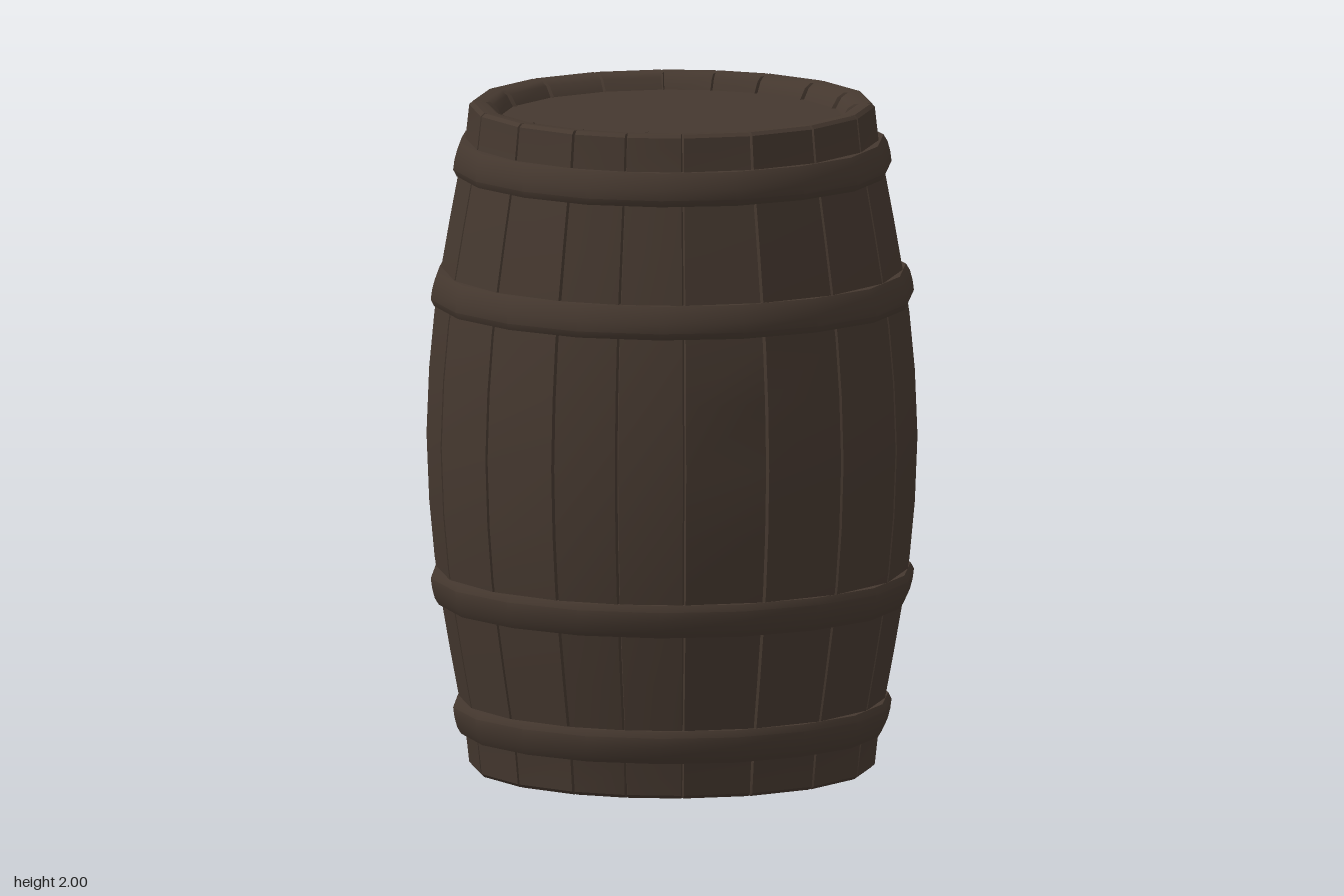
import * as THREE from 'three';
import { toCreasedNormals } from 'three/addons/utils/BufferGeometryUtils.js';

const rad = THREE.MathUtils.degToRad;

// Sweeps a [radius, y] profile around a closed ring of { a: angle, d: radius offset }.
function sweepRing(profile, ring) {
  const positions = [], index = [], n = profile.length;
  for (const { a, d } of ring) {
    for (const [r, y] of profile) positions.push(Math.sin(a) * (r + d), y, Math.cos(a) * (r + d));
  }
  for (let i = 0; i < ring.length; i++) {
    const k = (i + 1) % ring.length;
    for (let j = 0; j < n - 1; j++) {
      const p = i * n + j, q = k * n + j;
      index.push(p, q, q + 1, p, q + 1, p + 1);
    }
  }
  const geometry = new THREE.BufferGeometry();
  geometry.setAttribute('position', new THREE.Float32BufferAttribute(positions, 3));
  geometry.setIndex(index);
  return toCreasedNormals(geometry, 0.6);
}

export function createModel() {
  const barrel = new THREE.Group();
  barrel.name = 'barrel';
  const wood = new THREE.MeshStandardMaterial({ color: 0x45382f });
  wood.name = 'darkWood';

  const add = (name, geometry, parent = barrel) => {
    const mesh = new THREE.Mesh(geometry, wood);
    mesh.name = name;
    parent.add(mesh);
    return mesh;
  };

  // Staves: eighteen flat boards with a narrow groove at each seam
  const quarter = [0, 16, 36, 57, 79];
  const half = [...quarter, ...quarter.slice(1).reverse().map((a) => 180 - a)];
  const seams = [...half, ...half.map((a) => a + 180)];
  const staveRing = seams.flatMap((deg) => [
    { a: rad(deg) - 0.007, d: 0 },
    { a: rad(deg), d: -0.012 },
    { a: rad(deg) + 0.007, d: 0 },
  ]);
  const lower = [
    [0.515, 0.05], [0.535, 0.015], [0.555, 0.002], [0.592, 0], [0.603, 0.01],
    [0.613, 0.1], [0.632, 0.2], [0.66, 0.35], [0.686, 0.5], [0.706, 0.63], [0.722, 0.8],
  ];
  const upper = lower.map(([r, y]) => [r, 2 - y]).reverse();
  add('staves', sweepRing([...lower, [0.73, 1], ...upper], staveRing));

  // Hoops: four bands with worn, rounded edges, mirrored about the middle
  const hoopRing = Array.from({ length: 18 }, (_, i) => ({
    a: rad(10 + i * 20), d: 0.003 * Math.sin(i * 2.7),
  }));
  const hoops = [
    { name: 'EndHoop', y: 0.11, r: 0.643 },
    { name: 'BellyHoop', y: 0.5, r: 0.71 },
  ];
  for (const { name, y, r } of hoops) {
    const profile = [
      [r - 0.05, y], [r - 0.012, y], [r, y + 0.02], [r + 0.008, y + 0.05],
      [r + 0.012, y + 0.08], [r + 0.002, y + 0.1], [r - 0.04, y + 0.1],
    ];
    const mirrored = profile.map(([pr, py]) => [pr, 2 - py]).reverse();
    add('lower' + name, sweepRing(profile, hoopRing));
    add('upper' + name, sweepRing(mirrored, hoopRing));
  }

  // Heads: recessed round boards, each with split cracks cut through to a backing disc
  const outline = new THREE.Shape(
    seams.map((deg) => new THREE.Vector2(Math.sin(rad(deg)) * 0.522, Math.cos(rad(deg)) * 0.522)),
  );
  const cracks = [
    [[-0.25, -0.25], [-0.285, -0.36], [-0.25, -0.43], [-0.262, -0.36]],
    [[-0.01, -0.25], [-0.04, -0.37], [-0.027, -0.36]],
  ];
  for (const crack of cracks) {
    outline.holes.push(new THREE.Path(crack.map(([x, y]) => new THREE.Vector2(x, y))));
  }
  const board = new THREE.ExtrudeGeometry(outline, { depth: 0.02, bevelEnabled: false });
  const backing = new THREE.CircleGeometry(0.5, 18);
  for (const top of [true, false]) {
    const head = new THREE.Group();
    head.name = top ? 'topHead' : 'bottomHead';
    add('headBoard', board, head);
    add('headBacking', backing, head).position.z = 0.004;
    head.rotation.x = top ? -Math.PI / 2 : Math.PI / 2;
    head.position.y = top ? 1.932 : 0.068;
    barrel.add(head);
  }

  return barrel;
}
